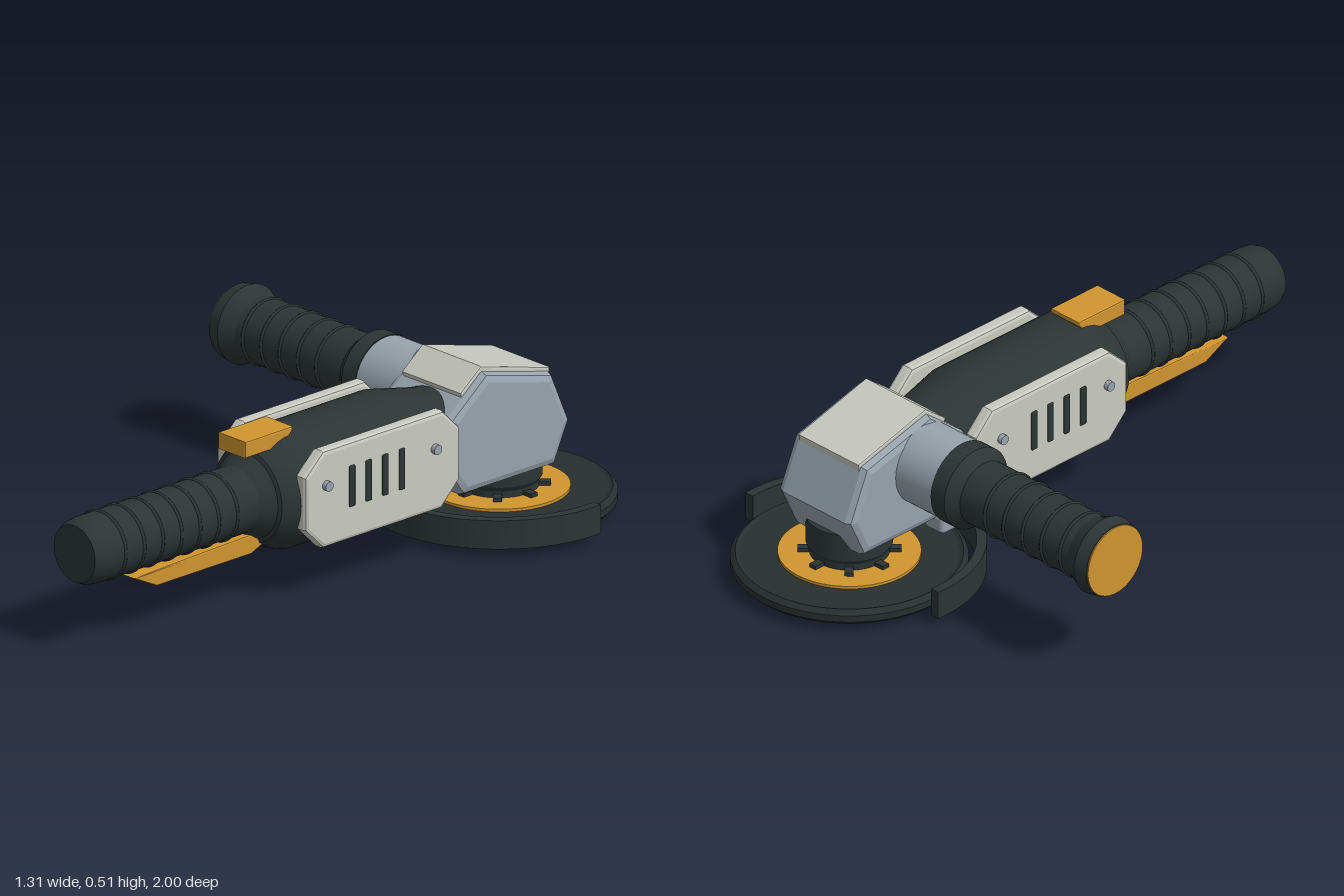
import * as THREE from 'three';
import { toCreasedNormals } from 'three/addons/utils/BufferGeometryUtils.js';
import { RoundedBoxGeometry } from 'three/addons/geometries/RoundedBoxGeometry.js';

const AXIS_X = 0.26, AXIS_Y = 0.298; // main body axis, along z
const DISC_Z = -0.66;                // spindle axis, along y

export function createModel() {
  const model = new THREE.Group();
  model.name = 'angleGrinder';

  const material = (name, color) => {
    const m = new THREE.MeshStandardMaterial({ color });
    m.name = name;
    return m;
  };
  const dark = material('dark rubber', 0x2c3534);
  const abrasive = material('abrasive', 0x282f2e);
  const metal = material('metal', 0x98a3ad);
  const cream = material('cream plastic', 0xc8cac0);
  const orange = material('orange', 0xd0952f);

  const add = (name, geometry, mat, x = 0, y = 0, z = 0) => {
    const mesh = new THREE.Mesh(geometry, mat);
    mesh.name = name;
    mesh.position.set(x, y, z);
    model.add(mesh);
    return mesh;
  };
  // Turned part: profile of [radius, height] from low to high
  const turned = (profile, segments = 48) => toCreasedNormals(
    new THREE.LatheGeometry(profile.map(([r, h]) => new THREE.Vector2(r, h)), segments), 0.4);
  // Side profile of [z, y] points, extruded to a width centred on x = 0
  const sideExtrude = (points, width, bevel) => {
    const shape = new THREE.Shape(points.map(([z, y]) => new THREE.Vector2(z, y)));
    const geometry = new THREE.ExtrudeGeometry(shape, {
      depth: width - 2 * bevel, bevelEnabled: bevel > 0, bevelSize: bevel,
      bevelThickness: bevel, bevelOffset: -bevel, bevelSegments: 2,
    });
    geometry.translate(0, 0, -(width - 2 * bevel) / 2);
    geometry.rotateY(-Math.PI / 2);
    return toCreasedNormals(geometry, 0.3);
  };

  // Motor body and rear grip
  add('motorBody', turned([
    [0, -0.4], [0.14, -0.4], [0.145, -0.36], [0.18, -0.2], [0.18, 0.23], [0.172, 0.26],
    [0.14, 0.32], [0.128, 0.325], [0.122, 0.335], [0.1, 0.37], [0, 0.37],
  ]).rotateX(Math.PI / 2), dark, AXIS_X, AXIS_Y, 0);
  add('rearGrip', turned([
    [0, 0.35], [0.1, 0.35], [0.1, 0.95], [0.096, 0.98], [0.086, 1], [0, 1],
  ]).rotateX(Math.PI / 2), dark, AXIS_X, AXIS_Y, 0);
  for (let i = 0; i < 7; i++) {
    add('rearGripRib', new THREE.TorusGeometry(0.099, 0.006, 6, 40), dark, AXIS_X, AXIS_Y, 0.455 + i * 0.073);
  }

  // Side panels with vents and screws, mirrored
  const panelOutline = [
    [0.27, 0.225], [0.2, 0.155], [-0.265, 0.155], [-0.335, 0.225],
    [-0.335, 0.385], [-0.27, 0.45], [0.2, 0.45], [0.27, 0.385],
  ].reverse();
  for (const side of [-1, 1]) {
    add('sidePanel', sideExtrude(panelOutline, 0.046, 0.012), cream, AXIS_X + side * 0.162, 0, 0);
    for (let i = 0; i < 4; i++) {
      add('ventSlot', new RoundedBoxGeometry(0.009, 0.125, 0.022, 2, 0.004), dark,
        AXIS_X + side * 0.186, 0.318, 0.09 - i * 0.065);
    }
    for (const z of [0.19, -0.235]) {
      add('panelScrew', new THREE.CylinderGeometry(0.015, 0.015, 0.03, 16).rotateZ(Math.PI / 2), metal,
        AXIS_X + side * 0.185, 0.345, z);
    }
  }

  // Gear head and its cover plate
  add('gearHead', sideExtrude([
    [-0.335, 0.22], [-0.335, 0.39], [-0.475, 0.5], [-0.735, 0.432],
    [-0.803, 0.275], [-0.745, 0.15], [-0.385, 0.15],
  ], 0.3, 0.025), metal, AXIS_X, 0, 0);
  add('headCover', sideExtrude([
    [-0.395, 0.453], [-0.475, 0.515], [-0.745, 0.442], [-0.74, 0.415], [-0.475, 0.48], [-0.405, 0.42],
  ], 0.245, 0.005), cream, AXIS_X, 0, 0);

  // Side handle, turned outwards along -x
  const handle = (name, profile, mat) =>
    add(name, turned(profile).rotateZ(Math.PI / 2), mat, 0, 0.36, -0.5);
  handle('handleCollar', [[0, -0.15], [0.123, -0.15], [0.123, 0.037], [0, 0.037]], metal);
  handle('sideHandle', [
    [0, 0.035], [0.126, 0.035], [0.126, 0.09], [0.118, 0.1], [0.098, 0.125], [0.098, 0.56],
    [0.115, 0.6], [0.12, 0.61], [0.112, 0.652], [0, 0.652],
  ], dark);
  handle('handleEndCap', [[0, 0.648], [0.109, 0.648], [0.109, 0.656], [0, 0.656]], orange);
  for (let i = 0; i < 5; i++) {
    add('handleRib', new THREE.TorusGeometry(0.097, 0.006, 6, 40).rotateY(Math.PI / 2), dark,
      -0.225 - i * 0.076, 0.36, -0.5);
  }

  // Slide switch and paddle trigger
  add('slideSwitch', sideExtrude([
    [0.2, 0.48], [0.2, 0.492], [0.385, 0.492], [0.385, 0.442], [0.24, 0.442],
  ], 0.115, 0.005), orange, AXIS_X, 0, 0);
  add('paddleTrigger', sideExtrude([
    [0.81, 0.185], [0.72, 0.139], [0.35, 0.139], [0.3, 0.16], [0.3, 0.2], [0.6, 0.193],
  ].reverse(), 0.092, 0.005), orange, AXIS_X, 0, 0);

  // Cutting disc, label and spindle
  add('cuttingDisc', turned([
    [0, 0.022], [0.315, 0.022], [0.32, 0.027], [0.33, 0.027], [0.34, 0.037], [0.34, 0.058],
    [0.325, 0.072], [0.315, 0.067], [0, 0.067],
  ], 72), abrasive, AXIS_X, 0, DISC_Z);
  add('discLabel', new THREE.CylinderGeometry(0.205, 0.205, 0.009, 64), orange, AXIS_X, 0.071, DISC_Z);
  add('spindleCollar', turned([
    [0, 0.07], [0.115, 0.07], [0.115, 0.095], [0.125, 0.11], [0.125, 0.195], [0, 0.195],
  ]), dark, AXIS_X, 0, DISC_Z);
  for (let i = 0; i < 8; i++) {
    const angle = i * Math.PI / 4;
    add('flangeTooth', new THREE.BoxGeometry(0.04, 0.014, 0.025), dark,
      AXIS_X + 0.128 * Math.cos(angle), 0.08, DISC_Z - 0.128 * Math.sin(angle)).rotation.y = angle;
  }
  add('spindleNut', new THREE.CylinderGeometry(0.065, 0.065, 0.035, 32), metal, AXIS_X, 0.0175, DISC_Z);

  // Curved guard around the front half of the disc
  const arc = new THREE.Shape();
  arc.absarc(0, 0, 0.392, -0.08, Math.PI + 0.08, false);
  arc.absarc(0, 0, 0.362, Math.PI + 0.08, -0.08, true);
  const guard = new THREE.ExtrudeGeometry(arc, { depth: 0.087, bevelEnabled: false, curveSegments: 48 });
  add('discGuard', toCreasedNormals(guard.rotateX(Math.PI / 2), 0.4), dark, AXIS_X, 0.112, DISC_Z);

  // Guard clamp below the gear head
  add('guardClamp', new RoundedBoxGeometry(0.08, 0.06, 0.11, 2, 0.015), metal, 0.125, 0.14, -0.405);

  return model;
}
